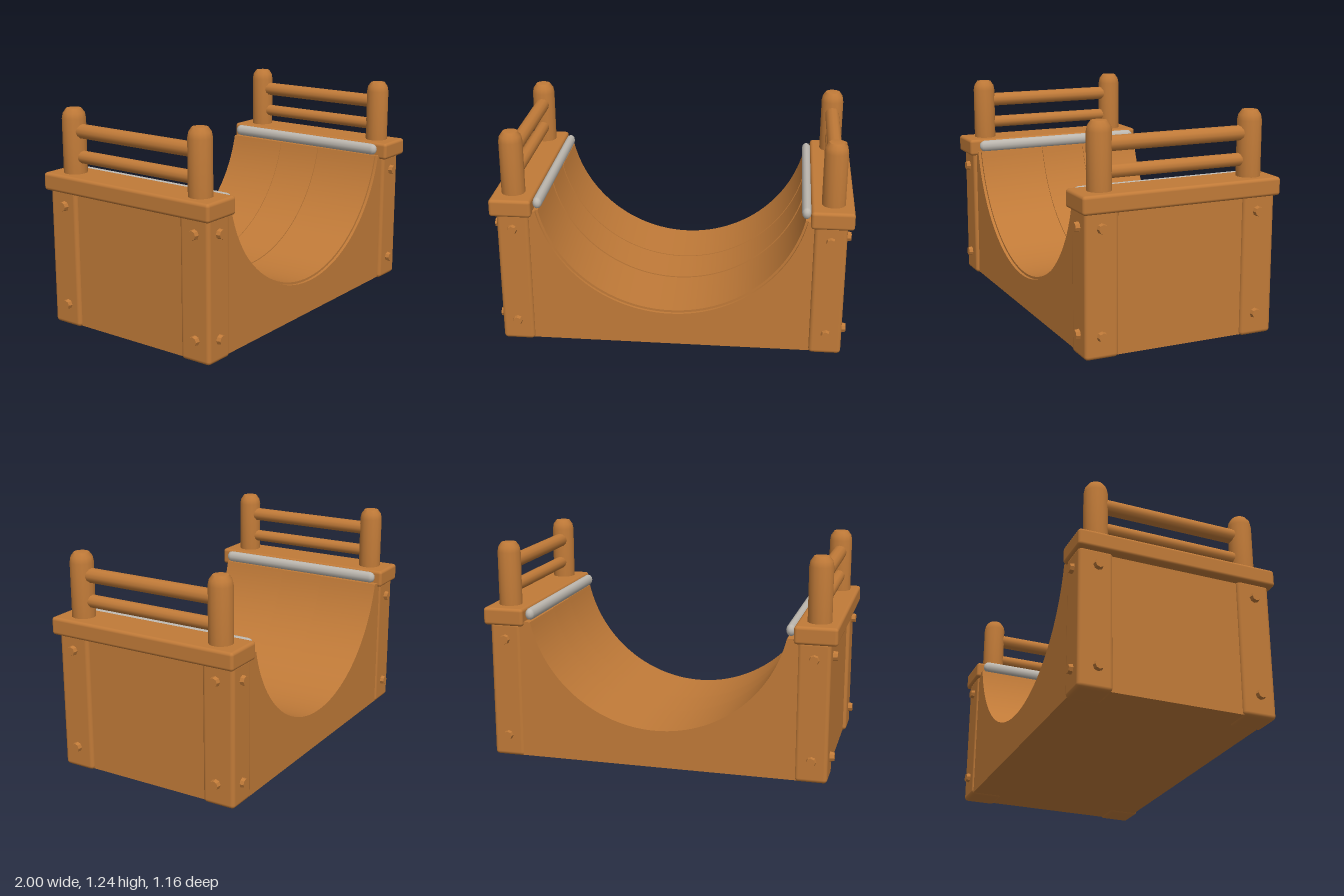
import * as THREE from 'three';
import { toCreasedNormals } from 'three/addons/utils/BufferGeometryUtils.js';
import { RoundedBoxGeometry } from 'three/addons/geometries/RoundedBoxGeometry.js';

export function createModel() {
  const wood = new THREE.MeshStandardMaterial({ color: 0xc07a38 });
  wood.name = 'wood';
  const metal = new THREE.MeshStandardMaterial({ color: 0xbdb8b0 });
  metal.name = 'metal';
  const model = new THREE.Group();
  model.name = 'halfPipe';

  const add = (name, geometry, material, x, y, z, parent = model) => {
    const mesh = new THREE.Mesh(geometry, material);
    mesh.name = name;
    mesh.position.set(x, y, z);
    parent.add(mesh);
    return mesh;
  };

  // Ramp body: a block with a circular trough, in sections of slightly different depth
  const rampSection = (radius, z0, z1) => {
    const cy = 0.969, top = 0.8, halfWidth = 0.945;
    const a = -Math.asin((cy - top) / radius);
    const shape = new THREE.Shape();
    shape.moveTo(-halfWidth, 0.006);
    shape.lineTo(halfWidth, 0.006);
    shape.lineTo(halfWidth, top);
    shape.lineTo(radius * Math.cos(a), top);
    shape.absarc(0, cy, radius, a, -Math.PI - a, true);
    shape.lineTo(-halfWidth, top);
    const g = new THREE.ExtrudeGeometry(shape, { depth: z1 - z0, bevelEnabled: false, curveSegments: 28 });
    add('rampSection', toCreasedNormals(g, 0.5), wood, 0, 0, z0);
  };
  rampSection(0.77, 0.51, 0.527);
  rampSection(0.757, 0.1, 0.51);
  rampSection(0.751, -0.18, 0.1);
  rampSection(0.747, -0.555, -0.18);

  // Shared geometries
  const cornerGeo = new RoundedBoxGeometry(0.18, 0.79, 0.19, 3, 0.022);
  const deckGeo = new RoundedBoxGeometry(0.235, 0.1, 1.15, 3, 0.018);
  const boltGeo = toCreasedNormals(new THREE.CylinderGeometry(0.025, 0.031, 0.04, 8), 0.6);
  const postGeo = toCreasedNormals(new THREE.LatheGeometry([
    [0.066, 0], [0.066, 0.31], [0.06, 0.34], [0.042, 0.365], [0, 0.37],
  ].map(([r, y]) => new THREE.Vector2(r, y)), 14), 0.7);
  const railGeo = (r) => new THREE.CylinderGeometry(r, r, 0.82, 12).rotateX(Math.PI / 2);
  const copingGeo = new THREE.CapsuleGeometry(0.031, 1.0, 3, 12).rotateX(Math.PI / 2);
  copingGeo.scale(0.85, 1.1, 1);

  for (const side of [1, -1]) {
    const end = new THREE.Group();
    end.name = side > 0 ? 'leftEnd' : 'rightEnd';
    model.add(end);

    // Deck, metal lip and guard rails
    add('deck', deckGeo, wood, side * 0.882, 0.825, -0.003, end);
    add('coping', copingGeo, metal, side * 0.742, 0.838, -0.012, end);
    add('upperRail', railGeo(0.041), wood, side * 0.885, 1.11, 0, end);
    add('lowerRail', railGeo(0.036), wood, side * 0.885, 0.967, 0, end);

    for (const front of [1, -1]) {
      // Corner posts and rail posts
      add('cornerPost', cornerGeo, wood, side * 0.875, 0.395, front * 0.46 - 0.008, end);
      add('railPost', postGeo, wood, side * 0.885, 0.867, front * 0.438 - 0.003, end);

      // Bolts on both outer faces of each corner
      for (const y of [0.125, 0.695]) {
        const faceBolt = add('bolt', boltGeo, wood, side * 0.877, y, front * 0.558 - 0.007, end);
        faceBolt.rotation.x = front * Math.PI / 2;
        const sideBolt = add('bolt', boltGeo, wood, side * 0.97, y, front * 0.456, end);
        sideBolt.rotation.z = -side * Math.PI / 2;
      }
    }
  }
  return model;
}
